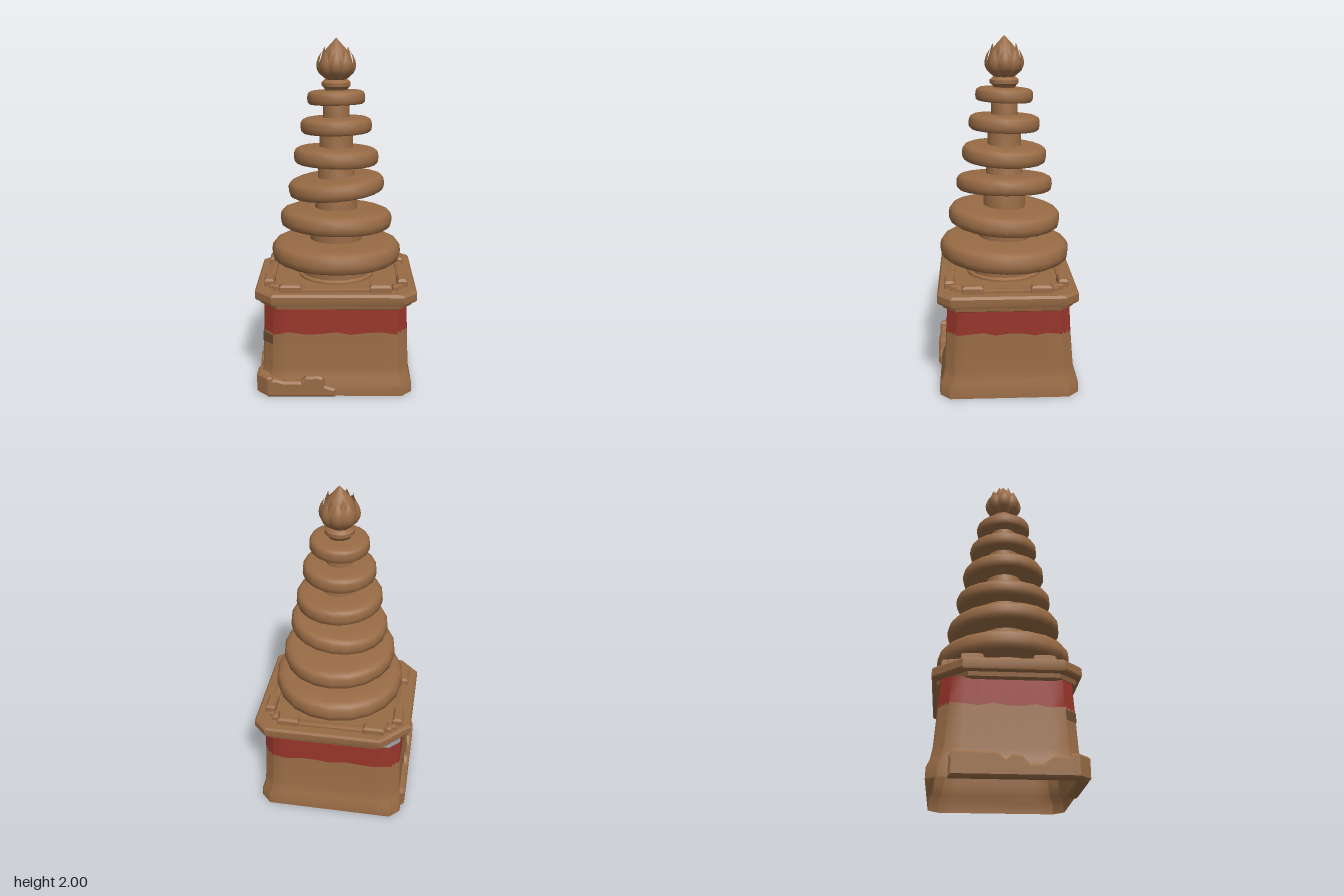
import * as THREE from 'three';
import { toCreasedNormals } from 'three/addons/utils/BufferGeometryUtils.js';

const V2 = (a) => a.map(([x, y]) => new THREE.Vector2(x, y));

// Rectangle with cut corners [x1z1, x0z1, x0z0, x1z0], each edge split into n
function outline(x0, x1, z0, z1, c, n = 1) {
  const k = [
    [x1, z0 + c[3]], [x1, z1 - c[0]], [x1 - c[0], z1], [x0 + c[1], z1],
    [x0, z1 - c[1]], [x0, z0 + c[2]], [x0 + c[2], z0], [x1 - c[3], z0]];
  const out = [];
  k.forEach((p, i) => {
    const q = k[(i + 1) % 8];
    for (let j = 0; j < n; j++) out.push([p[0] + (q[0] - p[0]) * j / n, p[1] + (q[1] - p[1]) * j / n]);
  });
  return out;
}

// Skin a stack of closed rings of [x, y, z] points
function loft(rings, capped, crease) {
  const n = rings[0].length, pos = rings.flat(2), idx = [];
  for (let r = 0; r < rings.length - 1; r++) for (let i = 0; i < n; i++) {
    const a = r * n + i, b = r * n + (i + 1) % n;
    idx.push(a, a + n, b, b, a + n, b + n);
  }
  if (capped) for (let i = 1; i < n - 1; i++) {
    const t = (rings.length - 1) * n;
    idx.push(t, t + i + 1, t + i, 0, i, i + 1);
  }
  const g = new THREE.BufferGeometry();
  g.setAttribute('position', new THREE.Float32BufferAttribute(pos, 3));
  g.setIndex(idx);
  return toCreasedNormals(g, crease);
}

// Body extents by height: y, x0, x1, z0, z1
const BODY = [
  [0, -0.435, 0.44, -0.41, 0.385], [0.06, -0.435, 0.438, -0.408, 0.385],
  [0.1, -0.425, 0.423, -0.39, 0.365], [0.16, -0.42, 0.418, -0.378, 0.356],
  [0.36, -0.413, 0.41, -0.362, 0.346], [0.53, -0.408, 0.405, -0.352, 0.336]];
function bodyOutline(y, n) {
  let i = 0;
  while (i < BODY.length - 2 && y > BODY[i + 1][0]) i++;
  const a = BODY[i], b = BODY[i + 1], t = (y - a[0]) / (b[0] - a[0]);
  const [x0, x1, z0, z1] = [1, 2, 3, 4].map((k) => a[k] + (b[k] - a[k]) * t);
  return outline(x0, x1, z0, z1, [0.06, 0.06, 0.06, 0.06], n);
}
const bodyRing = (yOf) => Array.from({ length: 64 }, (_, i) => {
  const y = yOf(i), p = bodyOutline(y, 8)[i];
  return [p[0], y, p[1]];
});

export function createModel() {
  const root = new THREE.Group();
  root.name = 'tieredShrine';
  const mat = (name, color, side = THREE.FrontSide) => {
    const m = new THREE.MeshStandardMaterial({ color, side });
    m.name = name;
    return m;
  };
  const clay = mat('clayBrown', 0x986b45, THREE.DoubleSide);
  const red = mat('redPaint', 0x96352a, THREE.DoubleSide);
  const stain = mat('darkStain', 0x6b4b32, THREE.DoubleSide);
  const add = (name, geo, m = clay, parent = root) => {
    const mesh = new THREE.Mesh(geo, m);
    mesh.name = name;
    parent.add(mesh);
    return mesh;
  };

  // Hollow body with a ragged painted band
  const jag = (i) => 0.375 + 0.009 * Math.sin(i * 2.3 * Math.PI * 2 / 6.4) + 0.006 * Math.sin(i * Math.PI / 16);
  const flat = (y) => bodyRing(() => y);
  add('bodyWall', loft([flat(0), flat(0.06), flat(0.1), flat(0.16), bodyRing(jag)], false, 0.9));
  add('paintedBand', loft([bodyRing(jag), flat(0.53)], false, 0.9), red);

  // Stain on the cut front corner
  const lo = bodyOutline(0.305, 1), hi = bodyOutline(0.36, 1);
  const off = (p, y) => [p[0] - 0.003, y, p[1] + 0.003];
  const patch = new THREE.BufferGeometry();
  patch.setAttribute('position', new THREE.Float32BufferAttribute(
    [off(lo[3], 0.305), off(hi[3], 0.36), off(lo[4], 0.305), off(hi[4], 0.36)].flat(), 3));
  patch.setIndex([0, 1, 2, 2, 1, 3]);
  patch.computeVertexNormals();
  add('cornerStain', patch, stain);

  // Stepped cornice
  const cornice = [[0.515, 0.05], [0.525, 0.03], [0.548, 0.026], [0.556, 0.004], [0.566, 0], [0.606, 0], [0.62, 0.01]];
  add('cornice', loft(cornice.map(([y, d]) =>
    outline(-0.46 + d, 0.46 - d, -0.4 + d, 0.39 - d, [0.075, 0.1, 0.16, 0.075])
      .map(([x, z]) => [x, y, z])), true, 0.5));

  // Low kerbs with raised ends, and stepped corner stones
  const block = (name, w, h, d, x, z, parent) => {
    const ring = (y, s) => outline(-w / 2 + s, w / 2 - s, -d / 2 + s, d / 2 - s, [0.004, 0.004, 0.004, 0.004])
      .map(([px, pz]) => [px + x, y, pz + z]);
    add(name, loft([ring(0.615, 0), ring(0.62 + h * 0.7, 0), ring(0.62 + h, 0.01)], true, 0.5), clay, parent);
  };
  const kerbs = new THREE.Group();
  kerbs.name = 'kerbs';
  root.add(kerbs);
  for (const s of [-1, 1]) {
    block('kerbRail', 0.42, 0.018, 0.042, 0, s * 0.322, kerbs);
    block('kerbRail', 0.042, 0.018, 0.3, s * 0.378, 0, kerbs);
    for (const t of [-1, 1]) {
      block('kerbEnd', 0.125, 0.042, 0.06, t * 0.253, s * 0.322, kerbs);
      block('kerbEnd', 0.06, 0.042, 0.12, s * 0.382, t * 0.19, kerbs);
      block('cornerStone', 0.034, 0.03, 0.065, s * 0.338, t * 0.285, kerbs);
      block('cornerStone', 0.034, 0.022, 0.035, s * 0.36, t * 0.27, kerbs);
    }
  }

  // Central column narrowing at every tier
  add('column', toCreasedNormals(new THREE.LatheGeometry(V2([
    [0.225, 0.615], [0.225, 0.63], [0.21, 0.64], [0.205, 0.78], [0.155, 0.8], [0.152, 0.96], [0.125, 0.98],
    [0.12, 1.17], [0.107, 1.19], [0.104, 1.33], [0.098, 1.35], [0.095, 1.5], [0.078, 1.52],
    [0.073, 1.68], [0.062, 1.71], [0.068, 1.722], [0.082, 1.735], [0.082, 1.755], [0.065, 1.77], [0, 1.775]]), 20), 0.6));

  // Rounded discs, each slightly askew: y, radius, height, core radius, tilt toward x, tilt toward z
  const tiers = new THREE.Group();
  tiers.name = 'tiers';
  root.add(tiers);
  [[0.772, 0.382, 0.122, 0.15, -0.005, 0.035], [0.967, 0.328, 0.108, 0.12, -0.02, 0.06],
    [1.162, 0.28, 0.096, 0.1, 0.085, 0.02], [1.335, 0.245, 0.094, 0.09, -0.02, 0.045],
    [1.512, 0.205, 0.086, 0.07, 0.02, 0.035], [1.67, 0.165, 0.076, 0.055, 0.02, 0.045],
  ].forEach(([y, R, h, c, tx, tz]) => {
    const geo = new THREE.LatheGeometry(V2([
      [c, -h * 0.32], [R * 0.8, -h * 0.46], [R * 0.93, -h * 0.48], [R * 0.985, -h * 0.36], [R, -h * 0.1],
      [R * 0.99, h * 0.2], [R * 0.95, h * 0.38], [R * 0.87, h * 0.48], [R * 0.7, h * 0.52], [c, h * 0.54]]), 20);
    const disc = add('tierDisc', geo, clay, tiers);
    disc.position.y = y;
    disc.rotation.set(-tz, 0, tx);
  });

  // Bud finial: pointed core wrapped in two rows of petals
  const bud = new THREE.Group();
  bud.name = 'budFinial';
  root.add(bud);
  add('budCore', new THREE.LatheGeometry(V2([
    [0.045, 1.76], [0.085, 1.8], [0.096, 1.85], [0.082, 1.9], [0.055, 1.94], [0.025, 1.972], [0, 2]]), 16), clay, bud);
  function petal(scale, top) {
    const g = new THREE.PlaneGeometry(2, 1, 6, 8), p = g.attributes.position;
    const prof = new THREE.SplineCurve(V2([[0.05, 1.765], [0.098, 1.805], [0.112, 1.85], [0.1, 1.893], [0.08, top]]));
    for (let i = 0; i < p.count; i++) {
      const u = p.getX(i), v = p.getY(i) + 0.5, q = prof.getPoint(v);
      const a = u * 0.42 * Math.pow(Math.max(0, 1 - Math.pow(v, 3)), 0.8);
      const r = q.x * scale * (1 - 0.13 * u * u * (1 - v * v));
      p.setXYZ(i, Math.sin(a) * r, q.y, Math.cos(a) * r);
    }
    g.computeVertexNormals();
    return g;
  }
  const outer = petal(1, 1.925), inner = petal(0.88, 1.955);
  for (let i = 0; i < 8; i++) {
    add('outerPetal', outer, clay, bud).rotation.y = i * Math.PI / 4;
    add('innerPetal', inner, clay, bud).rotation.y = (i + 0.5) * Math.PI / 4;
  }

  // Broken plinth remains around one front corner
  const rubble = new THREE.Group();
  rubble.name = 'brokenPlinth';
  root.add(rubble);
  const slab = (pts, depth, bevel = 0.012) => new THREE.ExtrudeGeometry(new THREE.Shape(V2(pts)),
    { depth, bevelEnabled: true, bevelThickness: bevel, bevelSize: bevel, bevelOffset: -bevel, bevelSegments: 1 });
  const front = slab([[-0.39, 0], [0, 0], [0, 0.05], [-0.035, 0.06], [-0.06, 0.07], [-0.07, 0.12], [-0.1, 0.13],
    [-0.17, 0.125], [-0.2, 0.095], [-0.3, 0.095], [-0.33, 0.105], [-0.39, 0.11]], 0.045);
  front.translate(0, 0, 0.35);
  add('frontRubble', front, clay, rubble);
  const side = slab([[-0.3, 0], [0.33, 0], [0.33, 0.11], [0.22, 0.105], [0.17, 0.07], [0.1, 0.065], [0.06, 0.11],
    [0.02, 0.115], [-0.02, 0.085], [-0.06, 0.125], [-0.28, 0.13], [-0.3, 0.1]], 0.045);
  side.rotateY(-Math.PI / 2);
  side.translate(-0.4, 0, 0);
  add('sideRubble', side, clay, rubble);
  const corner = slab([[-0.455, -0.3], [-0.4, -0.3], [-0.36, -0.34], [-0.36, -0.407], [-0.39, -0.407], [-0.455, -0.345]], 0.1);
  corner.rotateX(-Math.PI / 2);
  corner.translate(0, 0.012, 0);
  add('cornerRubble', corner, clay, rubble);

  return root;
}
